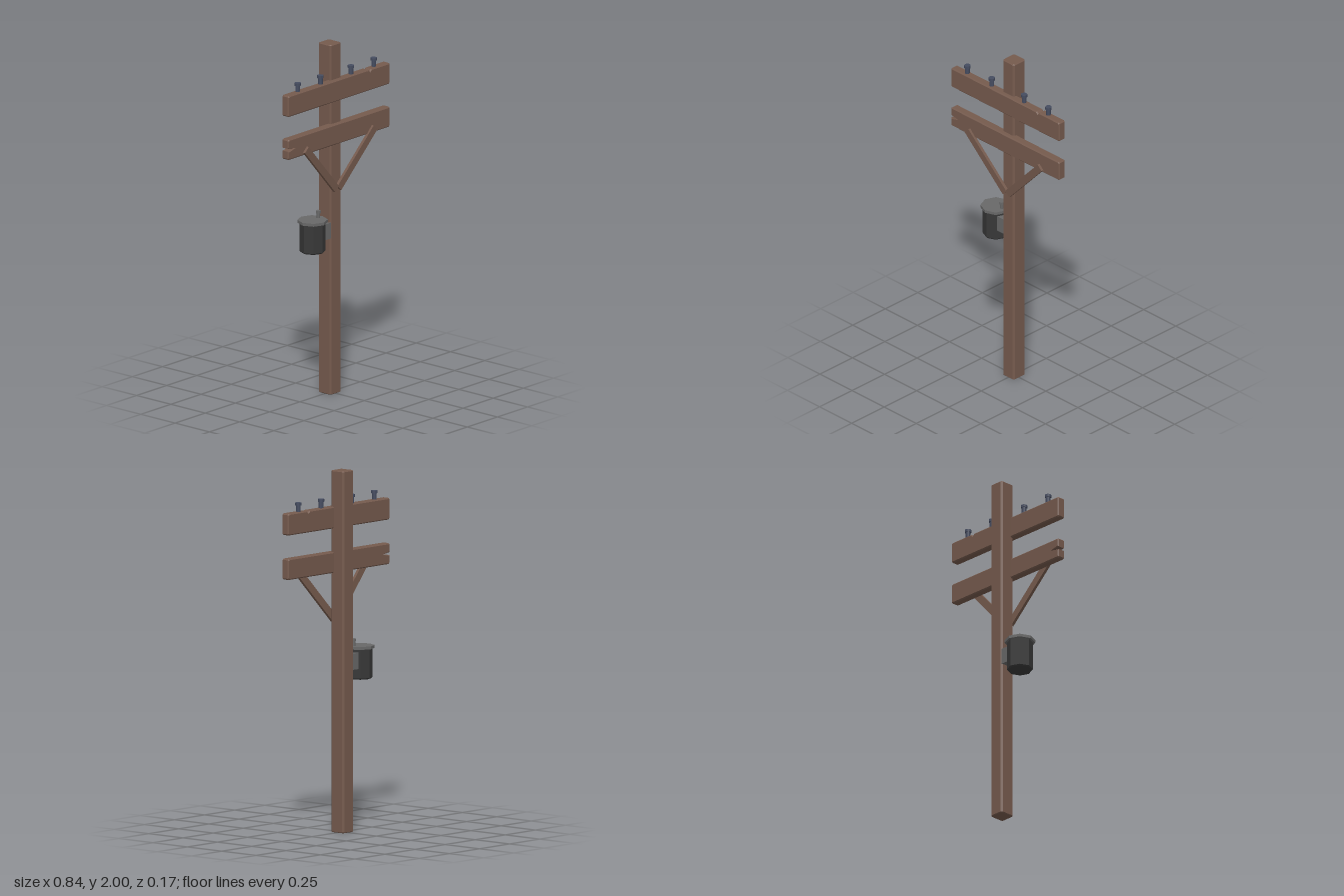
import * as THREE from 'three';

const mat = (name, color) => {
  const m = new THREE.MeshStandardMaterial({ color, flatShading: true });
  m.name = name;
  return m;
};

export function createModel() {
  const group = new THREE.Group();
  group.name = 'utilityPole';
  const wood = mat('brown wood', 0x755a4d);
  const slate = mat('slate insulator', 0x454c60);
  const darkMetal = mat('dark metal', 0x383838);
  const greyMetal = mat('grey metal', 0x686868);

  const add = (name, geometry, material, x = 0, y = 0, z = 0, parent = group) => {
    const mesh = new THREE.Mesh(geometry, material);
    mesh.name = name;
    mesh.position.set(x, y, z);
    parent.add(mesh);
    return mesh;
  };

  // Outline extruded along z, centred, with chamfered rims
  const slab = (points, depth, bevel) => {
    const shape = new THREE.Shape(points.map(([x, y]) => new THREE.Vector2(x, y)));
    const geo = new THREE.ExtrudeGeometry(shape, {
      depth: depth - 2 * bevel, bevelEnabled: true, bevelSegments: 1,
      bevelSize: bevel, bevelThickness: bevel, bevelOffset: -bevel,
    });
    return geo.translate(0, 0, bevel - depth / 2);
  };

  // Rectangle with cut corners; extra points make notches in the top or -x side
  const outline = (w, h, c, topNotch = [], sideNotch = []) => [
    [-w + c, -h], [w - c, -h], [w, -h + c], [w, h - c], [w - c, h],
    ...topNotch, [-w + c, h], [-w, h - c], ...sideNotch, [-w, -h + c],
  ];

  // Pole
  const poleGeo = slab(outline(0.045, 0.046, 0.009), 2, 0.004).rotateX(-Math.PI / 2);
  add('pole', poleGeo, wood, 0, 1, -0.002);

  // Cross arms with weathered notches
  add('upperCrossArm', slab(outline(0.422, 0.06, 0.007,
    [[0.268, 0.06], [0.256, 0.05], [0.243, 0.06]]), 0.048, 0.006), wood, 0, 1.74, 0.044);
  add('lowerCrossArm', slab(outline(0.422, 0.058, 0.007, [],
    [[-0.422, 0.007], [-0.37, 0], [-0.422, -0.009]]), 0.048, 0.006), wood, 0, 1.492, 0.044);

  // Diagonal braces leaning forward to the lower arm
  for (const side of [-1, 1]) {
    const low = new THREE.Vector3(side * 0.01, 1.175, 0.052);
    const high = new THREE.Vector3(side * 0.285, 1.465, 0.074);
    const dir = high.clone().sub(low);
    const length = dir.length();
    dir.normalize();
    const across = new THREE.Vector3().crossVectors(dir, new THREE.Vector3(0, 0, 1)).normalize();
    const out = new THREE.Vector3().crossVectors(across, dir);
    const brace = add(side < 0 ? 'rightBrace' : 'leftBrace',
      new THREE.BoxGeometry(0.042, length, 0.017), wood);
    brace.position.copy(low).add(high).multiplyScalar(0.5);
    brace.quaternion.setFromRotationMatrix(new THREE.Matrix4().makeBasis(across, dir, out));
  }

  // Insulators: stem with a wider cap
  for (const x of [-0.317, -0.128, 0.125, 0.314]) {
    const insulator = new THREE.Group();
    insulator.name = 'insulator';
    insulator.position.set(x, 1.79, 0.043);
    group.add(insulator);
    add('insulatorStem', new THREE.CylinderGeometry(0.013, 0.013, 0.05, 10), slate, 0, 0.025, 0, insulator);
    add('insulatorCap', new THREE.CylinderGeometry(0.018, 0.018, 0.015, 10), slate, 0, 0.0525, 0, insulator);
  }

  // Transformer can, lid, terminal and bracket
  const can = new THREE.Group();
  can.name = 'transformer';
  can.position.set(-0.142, 0, -0.002);
  group.add(can);
  const profile = [[0, 0.835], [0.066, 0.835], [0.072, 0.842], [0.072, 1.004], [0, 1.004]];
  add('canBody', new THREE.LatheGeometry(profile.map(([x, y]) => new THREE.Vector2(x, y)), 8),
    darkMetal, 0, 0, 0, can);
  add('canLid', new THREE.CylinderGeometry(0.084, 0.084, 0.016, 8), greyMetal, 0, 1.01, 0, can);
  add('terminalStem', new THREE.CylinderGeometry(0.01, 0.01, 0.035, 10), greyMetal, 0.048, 1.03, 0, can);
  add('terminalCap', new THREE.CylinderGeometry(0.014, 0.014, 0.014, 10), greyMetal, 0.048, 1.052, 0, can);
  add('bracket', new THREE.BoxGeometry(0.06, 0.09, 0.085), greyMetal, 0.08, 0.94, 0, can);

  return group;
}
